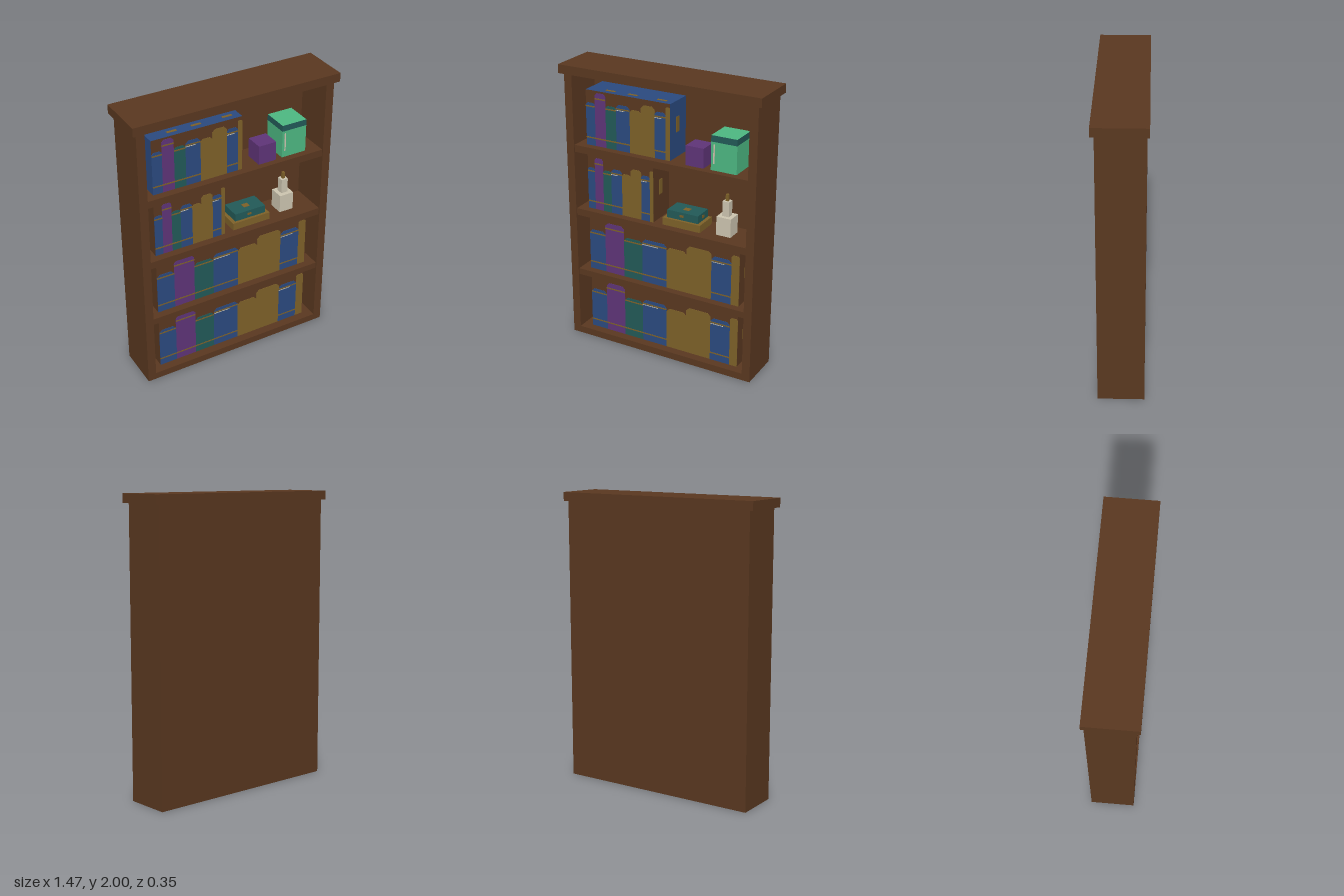
import * as THREE from 'three';

const mat = (name, color) => {
  const m = new THREE.MeshStandardMaterial({ color });
  m.name = name;
  return m;
};

export function createModel() {
  const root = new THREE.Group();
  root.name = 'bookcase';
  const wood = mat('brown wood', 0x5a3820);
  const blue = mat('blue', 0x2b4a80);
  const purple = mat('purple', 0x5f3478);
  const teal = mat('teal', 0x225a58);
  const gold = mat('gold', 0x7e6129);
  const green = mat('light green', 0x4db882);
  const cream = mat('cream', 0xcdc5b0);

  // Box given by its limits on each axis
  const box = (name, material, x0, x1, y0, y1, z0, z1, parent = root) => {
    const mesh = new THREE.Mesh(new THREE.BoxGeometry(x1 - x0, y1 - y0, z1 - z0), material);
    mesh.position.set((x0 + x1) / 2, (y0 + y1) / 2, (z0 + z1) / 2);
    mesh.name = name;
    parent.add(mesh);
    return mesh;
  };

  // Case
  const backZ = -0.12;
  const frame = new THREE.Group();
  frame.name = 'case';
  root.add(frame);
  box('topBoard', wood, -0.735, 0.735, 1.94, 2, -0.174, 0.174, frame);
  box('rightSide', wood, -0.706, -0.648, 0, 1.94, -0.16, 0.15, frame);
  box('leftSide', wood, 0.648, 0.706, 0, 1.94, -0.16, 0.15, frame);
  box('backPanel', wood, -0.648, 0.648, 0, 1.94, -0.16, backZ, frame);
  const shelves = [[0, 0.05], [0.47, 0.515], [0.93, 0.98], [1.395, 1.445]];
  shelves.forEach(([y0, y1], i) =>
    box(i ? 'shelf' : 'bottomBoard', wood, -0.648, 0.648, y0, y1, backZ, i ? 0.142 : 0.15, frame));

  // Spines along a row: right edge and height as fractions, colour, band height
  const spines = [
    [0.11, 0.775, blue, 0.7],
    [0.24, 0.965, purple, 0.85],
    [0.366, 0.77, teal, 0.7],
    [0.53, 0.825, blue, 0.74],
    [0.662, 0.78, gold, 0],
    [0.823, 0.9, gold, 0],
    [0.95, 0.83, blue, 0.74],
    [1, 0.935, gold, 0],
  ];

  // Flat spine with clipped upper corners
  const spineGeometry = (w, h) => {
    const c = Math.min(0.022, w * 0.2);
    const s = new THREE.Shape();
    s.moveTo(0, 0);
    s.lineTo(w, 0);
    s.lineTo(w, h - c);
    s.lineTo(w - c, h);
    s.lineTo(c, h);
    s.lineTo(0, h - c);
    s.closePath();
    return new THREE.ExtrudeGeometry(s, { depth: 0.003, bevelEnabled: false });
  };

  const bookRow = (x1, y0, height, coverMat, topMat) => {
    const row = new THREE.Group();
    row.name = 'bookRow';
    root.add(row);
    const x0 = -0.582, front = 0.087, width = x1 - x0;
    box('bookBlock', [coverMat, coverMat, topMat, wood, wood, wood],
      x0, x1, y0, y0 + height, backZ, front, row);
    let left = x0;
    for (const [edge, top, colour, band] of spines) {
      const right = x0 + edge * width;
      const spine = new THREE.Mesh(spineGeometry(right - left, top * height), colour);
      spine.name = 'bookSpine';
      spine.position.set(left, y0, front);
      row.add(spine);
      // Gilt bands, with a pale line on the wider blue spines
      if (band) {
        for (const f of [0.13, band]) {
          const y = y0 + f * height;
          box('spineBand', gold, left, right, y, y + 0.009, front + 0.003, front + 0.005, row);
        }
        if (band === 0.74) {
          const y = y0 + 0.72 * height;
          box('paleLine', cream, left, left + (right - left) * 0.65, y, y + 0.004,
            front + 0.003, front + 0.005, row);
        }
      }
      left = right;
    }
    // Label on the end cover
    box('coverLabel', gold, x1, x1 + 0.003, y0 + 0.45 * height, y0 + 0.72 * height, -0.03, 0.01, row);
    return row;
  };

  bookRow(0.58, 0.05, 0.39, wood, wood);
  bookRow(0.58, 0.515, 0.39, wood, wood);
  bookRow(-0.068, 0.98, 0.39, wood, blue);
  const topRow = bookRow(0.06, 1.445, 0.385, blue, blue);
  // Gilt marks on the top of the upper row
  for (const x of [-0.45, -0.28, -0.06])
    box('topMark', gold, x, x + 0.07, 1.83, 1.832, 0.03, 0.05, topRow);

  // Small box and lidded jar
  box('smallBox', purple, 0.18, 0.31, 1.445, 1.58, -0.03, 0.1);
  box('jarBody', green, 0.36, 0.543, 1.445, 1.637, -0.09, 0.095);
  box('jarLid', [teal, teal, green, teal, teal, teal], 0.36, 0.543, 1.637, 1.68, -0.09, 0.095);
  box('jarHighlight', cream, 0.377, 0.387, 1.49, 1.62, 0.095, 0.097);

  // Two books lying flat
  box('lowerFlatBook', gold, 0, 0.282, 0.98, 1.032, -0.085, 0.085);
  box('upperFlatBook', teal, 0.025, 0.257, 1.032, 1.087, -0.075, 0.066);
  box('flatBookLabel', gold, 0.12, 0.165, 1.087, 1.089, -0.02, 0.02);
  box('flatBookClasp', gold, 0.12, 0.15, 1.053, 1.069, 0.066, 0.068);
  box('flatBookSideMark', gold, 0.257, 0.259, 1.05, 1.07, -0.02, 0.01);

  // Candle
  box('candleBase', cream, 0.385, 0.49, 0.98, 1.11, -0.052, 0.052);
  box('candle', cream, 0.413, 0.461, 1.11, 1.214, -0.024, 0.024);
  box('flame', gold, 0.428, 0.447, 1.214, 1.26, -0.009, 0.009);

  return root;
}
